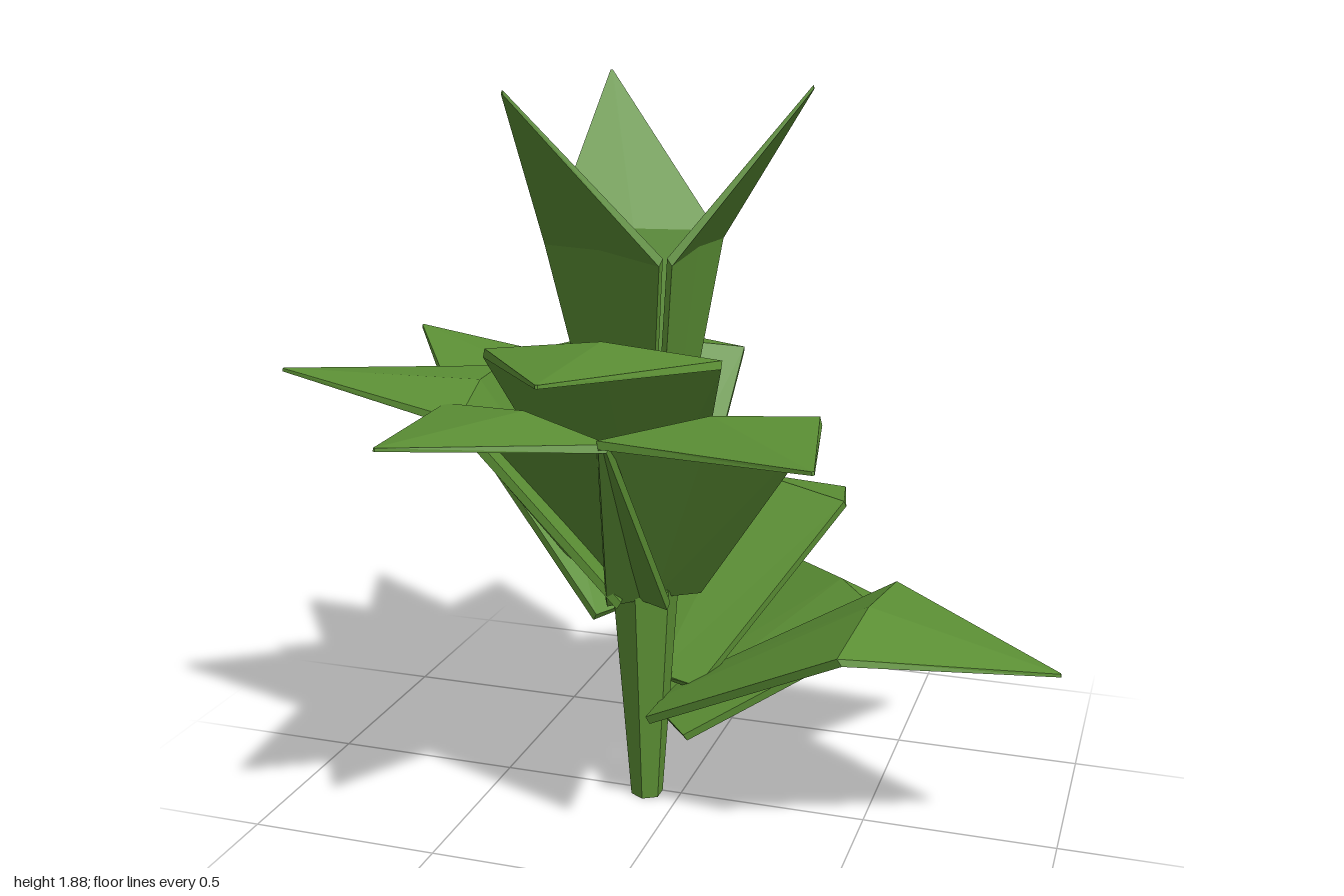
import * as THREE from 'three';

const green = new THREE.MeshStandardMaterial({ color: 0x5c9035, flatShading: true, side: THREE.DoubleSide });
const STEM_X = -0.09, STEM_Z = 0.02;

// Thin creased blade: narrow foot, wide shoulder, pointed tip.
// Each section is [distance from stem axis, height, half width, crease drop].
function leafGeometry(sections) {
  const rings = sections.map(([r, y, w, drop], i) => {
    const last = i === sections.length - 1;
    const dr = last ? 0.002 : 0.012, dy = last ? 0.008 : 0.018;
    return [
      [r, y - drop, -w], [r, y, 0], [r, y - drop, w],
      [r + dr, y - drop - dy, w], [r + dr, y - dy, 0], [r + dr, y - drop - dy, -w],
    ];
  });
  const n = 6, index = [];
  for (let i = 0; i < rings.length - 1; i++) {
    for (let j = 0; j < n; j++) {
      const a = i * n + j, b = i * n + (j + 1) % n;
      index.push(a, b, b + n, a, b + n, a + n);
    }
  }
  const end = (rings.length - 1) * n;
  for (let k = 1; k < n - 1; k++) {
    index.push(0, k + 1, k, end, end + k, end + k + 1);
  }
  const g = new THREE.BufferGeometry();
  g.setAttribute('position', new THREE.Float32BufferAttribute(rings.flat(2), 3));
  g.setIndex(index);
  const flat = g.toNonIndexed();
  flat.computeVertexNormals();
  return flat;
}

export function createModel() {
  const model = new THREE.Group();
  model.name = 'plant';

  function add(name, geometry, y = 0, angle = 0) {
    const mesh = new THREE.Mesh(geometry, green);
    mesh.name = name;
    mesh.position.set(STEM_X, y, STEM_Z);
    mesh.rotation.y = -THREE.MathUtils.degToRad(angle);
    model.add(mesh);
  }

  // Stem, widening upward
  add('lowerStem', new THREE.CylinderGeometry(0.088, 0.043, 0.6, 6), 0.3);
  add('upperStem', new THREE.CylinderGeometry(0.075, 0.085, 0.34, 6), 0.77);

  // Spreading leaves: angle from +x toward +z, foot height,
  // shoulder distance and height, tip distance and height
  const spreading = [
    ['lowerLeaf', -71.6, 0.33, 0.53, 0.77, 1.01, 0.61],
    ['lowerLeaf', -40.7, 0.22, 0.58, 0.53, 0.95, 0.31],
    ['lowerLeaf', 3.7, 0.29, 0.60, 0.62, 1.08, 0.515],
    ['middleLeaf', 50.5, 0.60, 0.43, 1.16, 0.96, 1.175],
    ['middleLeaf', 113.9, 0.60, 0.42, 1.15, 0.865, 1.155],
    ['middleLeaf', 167, 0.60, 0.42, 1.14, 0.93, 1.16],
    ['middleLeaf', 207.7, 0.54, 0.42, 1.09, 0.925, 1.15],
    ['upperLeaf', 85, 0.77, 0.41, 1.335, 0.91, 1.355],
    ['upperLeaf', 250.5, 0.71, 0.40, 1.17, 0.87, 1.10],
  ];
  for (const [name, angle, footY, midR, midY, tipR, tipY] of spreading) {
    add(name, leafGeometry([
      [0.05, footY, 0.13, 0.005],
      [midR, midY, 0.28, 0.03],
      [tipR, tipY, 0.003, 0],
    ]), 0, angle);
  }

  // Three upright leaves forming the crown
  for (let i = 0; i < 3; i++) {
    add('crownLeaf', leafGeometry([
      [0.05, 0.9, 0.085, 0.003],
      [0.13, 1.51, 0.215, 0.012],
      [0.42, 1.885, 0.003, 0],
    ]), 0, i * 120);
  }
  return model;
}
